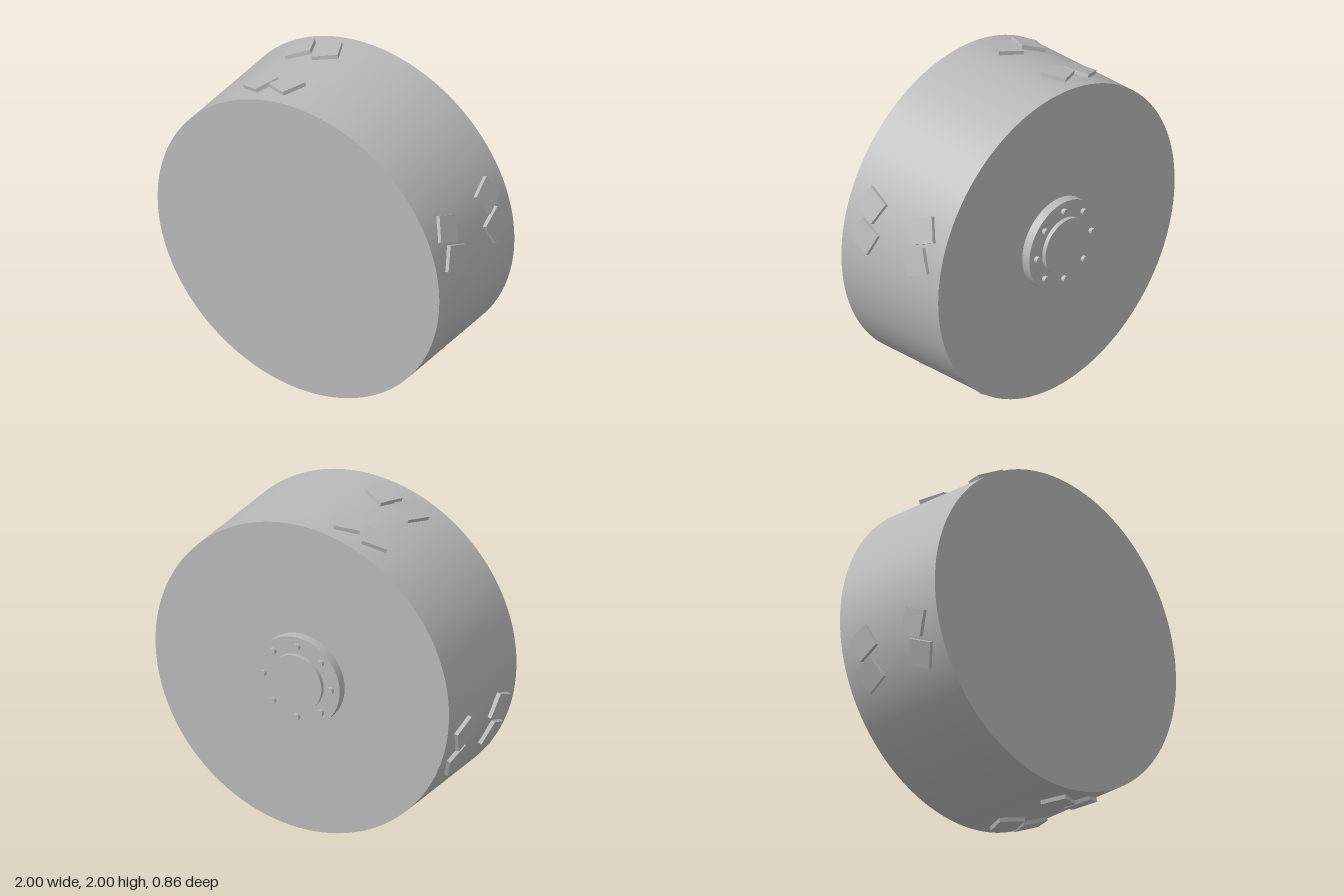
import * as THREE from 'three';

export function createModel() {
  const model = new THREE.Group();
  const steel = new THREE.MeshStandardMaterial({ color: 0xb8b8b8 });
  steel.name = 'steel grey';
  const rad = THREE.MathUtils.degToRad;

  function add(parent, name, geometry, x, y, z) {
    const mesh = new THREE.Mesh(geometry, steel);
    mesh.name = name;
    mesh.position.set(x, y, z);
    parent.add(mesh);
    return mesh;
  }

  // Disc whose axis runs along z, between two z values
  function disc(name, radius, zBack, zFront, sides, x = 0, y = 1) {
    const geometry = new THREE.CylinderGeometry(radius, radius, zFront - zBack, sides);
    geometry.rotateX(Math.PI / 2);
    return add(model, name, geometry, x, y, (zBack + zFront) / 2);
  }

  // Drum, rear mounting flange and raised hub
  disc('drum', 0.977, -0.35, 0.43, 128);
  disc('flange', 0.282, -0.407, -0.35, 64);
  disc('hub', 0.175, -0.433, -0.4, 64);

  // Ring of bolts on the flange
  for (let i = 0; i < 8; i++) {
    const a = (i * Math.PI) / 4;
    disc('bolt', 0.02, -0.43, -0.4, 16, 0.225 * Math.cos(a), 1 + 0.225 * Math.sin(a));
  }

  // Four clusters of tilted square plates around the rim, in mirrored rows
  const plate = new THREE.BoxGeometry(0.025, 0.155, 0.155);
  for (let quarter = 0; quarter < 4; quarter++) {
    for (const angle of [11.6, 22.8]) {
      const arm = new THREE.Group();
      arm.name = 'plateRow';
      arm.position.y = 1;
      arm.rotation.z = rad(quarter * 90 + angle);
      model.add(arm);
      for (const side of [-1, 1]) {
        const mesh = add(arm, 'rimPlate', plate, 0.9875, 0, 0.041 + side * 0.206);
        mesh.rotation.x = -side * rad(24.5);
      }
    }
  }
  return model;
}
